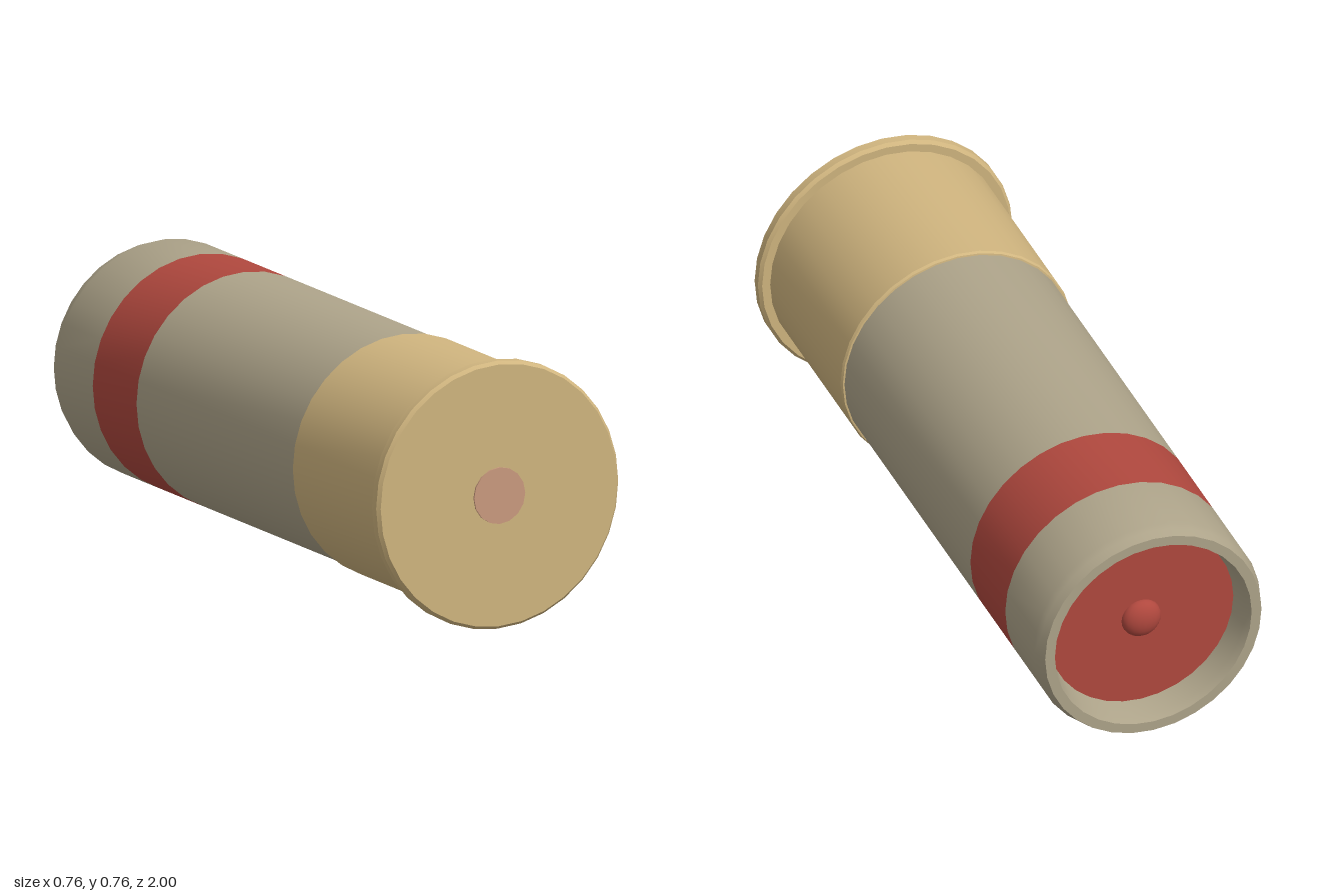
import * as THREE from 'three';
import { toCreasedNormals } from 'three/addons/utils/BufferGeometryUtils.js';

const AXIS_Y = 0.379;

const brass = new THREE.MeshStandardMaterial({ color: 0xd0b57f });
const hull = new THREE.MeshStandardMaterial({ color: 0xaea48a });
const red = new THREE.MeshStandardMaterial({ color: 0xb0483e });
const copper = new THREE.MeshStandardMaterial({ color: 0xca9a7e });

// Turns a [radius, z] profile, listed from back to front, about the long axis
function turned(name, profile, material, sides = 32) {
  const points = profile.map(([r, z]) => new THREE.Vector2(r, z));
  const geometry = new THREE.LatheGeometry(points, sides).rotateX(Math.PI / 2);
  const mesh = new THREE.Mesh(toCreasedNormals(geometry, 0.5), material);
  mesh.name = name;
  mesh.position.y = AXIS_Y;
  return mesh;
}

export function createModel() {
  const model = new THREE.Group();
  model.name = 'shotgunShell';

  // Hull: open mouth with a rounded lip, coloured band, then the long body
  model.add(turned('hullMouth', [
    [0.275, -0.91], [0.285, -0.975], [0.293, -1], [0.322, -1],
    [0.331, -0.975], [0.337, -0.955], [0.337, -0.745],
  ], hull));
  model.add(turned('band', [[0.337, -0.745], [0.337, -0.49]], red));
  model.add(turned('hullBody', [[0.337, -0.49], [0.337, 0.44]], hull));

  // Recessed closing disc with a small dome in the middle
  model.add(turned('closingDisc', [[0, -0.91], [0.28, -0.91]], red));
  const dome = new THREE.Mesh(new THREE.SphereGeometry(0.058, 20, 12), red);
  dome.name = 'dome';
  dome.scale.z = 0.6;
  dome.position.set(0, AXIS_Y, -0.91);
  model.add(dome);

  // Metal head: sleeve around the hull and a flared rim with a flat base
  model.add(turned('headSleeve', [
    [0.336, 0.43], [0.342, 0.431], [0.346, 0.438], [0.346, 0.96],
  ], brass));
  model.add(turned('rim', [
    [0.34, 0.952], [0.37, 0.952], [0.379, 0.961],
    [0.379, 0.985], [0.37, 0.995], [0, 0.995],
  ], brass));

  // Primer, barely proud of the base
  model.add(turned('primer', [[0.08, 0.98], [0.08, 1], [0, 1]], copper, 16));

  return model;
}
